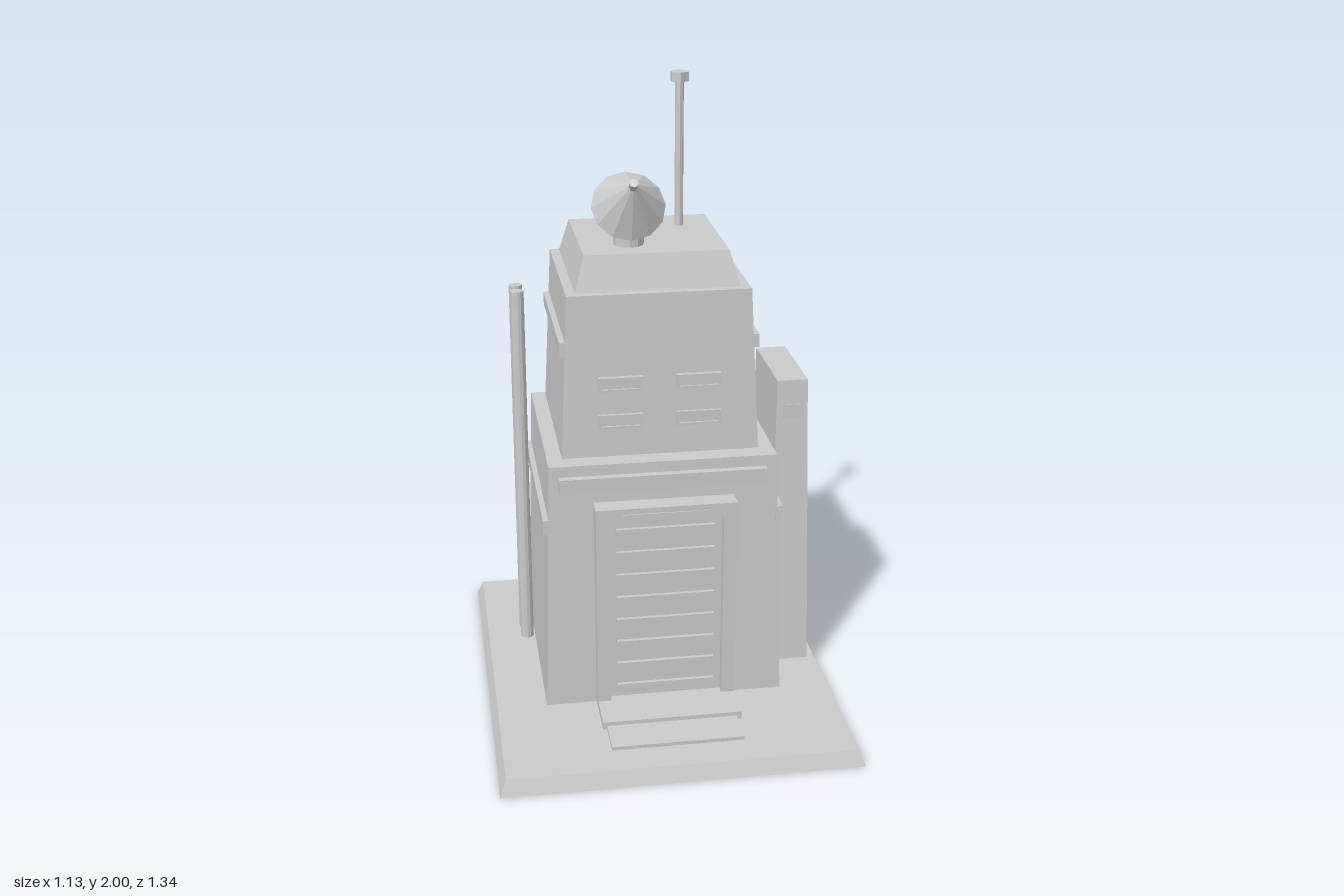
import * as THREE from 'three';

const material = new THREE.MeshStandardMaterial({ color: 0xcccccc, flatShading: true });

export function createModel() {
  const model = new THREE.Group();

  const add = (name, geometry) => {
    const mesh = new THREE.Mesh(geometry, material);
    mesh.name = name;
    model.add(mesh);
    return mesh;
  };

  // Box given by its limits on each axis
  const block = (name, [x0, x1], [y0, y1], [z0, z1]) => {
    const mesh = add(name, new THREE.BoxGeometry(x1 - x0, y1 - y0, z1 - z0));
    mesh.position.set((x0 + x1) / 2, (y0 + y1) / 2, (z0 + z1) / 2);
    return mesh;
  };

  // Box with separate limits [x0, x1, z0, z1] at its bottom and top
  const taper = (name, y0, y1, bottom, top) => {
    const geometry = new THREE.BoxGeometry(1, 1, 1);
    const p = geometry.attributes.position;
    for (let i = 0; i < p.count; i++) {
      const upper = p.getY(i) > 0;
      const r = upper ? top : bottom;
      p.setXYZ(i, p.getX(i) < 0 ? r[0] : r[1], upper ? y1 : y0, p.getZ(i) < 0 ? r[2] : r[3]);
    }
    geometry.computeVertexNormals();
    return add(name, geometry);
  };

  // Upright rod between two heights
  const rod = (name, x, z, y0, y1, radius, sides) => {
    const mesh = add(name, new THREE.CylinderGeometry(radius, radius, y1 - y0, sides));
    mesh.position.set(x, (y0 + y1) / 2, z);
  };

  // Rectangular frame extruded towards the front
  const frame = (name, w, h, rim, depth, x, y, z) => {
    const rect = (Type, a, b) => new Type([[-a, -b], [a, -b], [a, b], [-a, b]]
      .map(([u, v]) => new THREE.Vector2(u, v)));
    const shape = rect(THREE.Shape, w / 2, h / 2);
    shape.holes.push(rect(THREE.Path, w / 2 - rim, h / 2 - rim));
    add(name, new THREE.ExtrudeGeometry(shape, { depth, bevelEnabled: false })).position.set(x, y, z);
  };

  // Ground slab and the stacked tapering tower
  taper('basePlate', 0, 0.05, [-0.565, 0.565, -0.67, 0.67], [-0.545, 0.545, -0.65, 0.65]);
  taper('lowerTower', 0.05, 0.875, [-0.385, 0.385, -0.463, 0.248], [-0.36, 0.36, -0.44, 0.225]);
  taper('upperTower', 0.875, 1.395, [-0.312, 0.312, -0.425, 0.16], [-0.287, 0.287, -0.402, 0.137]);
  taper('roofCap', 1.395, 1.505, [-0.257, 0.257, -0.393, 0.108], [-0.226, 0.226, -0.362, 0.078]);

  // Side buttress with its front hatch
  taper('buttress', 0.05, 1.045, [0.385, 0.52, -0.325, 0.072], [0.402, 0.502, -0.307, 0.022]);
  block('buttressHatch', [0.42, 0.485], [0.7, 0.962], [-0.02, 0.0285]);

  // Trim strips
  for (const side of [-1, 1]) {
    block('upperSideStrip', [0.29, 0.312], [1.207, 1.25], [-0.395, 0.145]).position.x *= side;
    block('lowerSideStrip', [0.358, 0.382], [0.652, 0.7], [-0.43, 0.235]).position.x *= side;
  }
  block('frontBand', [-0.33, 0.325], [0.79, 0.84], [0.21, 0.25]);

  // Framed windows
  for (const x of [-0.125, 0.12]) {
    for (const y of [0.99, 1.112]) {
      frame('windowFrame', 0.14, 0.047, 0.009, 0.025, x, y, 0.14);
      block('windowPane', [x - 0.065, x + 0.065], [y - 0.018, y + 0.018], [0.13, 0.158]);
    }
  }

  // Doorway with a slatted shutter
  for (const side of [-1, 1]) {
    block('doorJamb', [0.18, 0.223], [0.05, 0.75], [0.2, 0.293]).position.x *= side;
  }
  block('doorLintel', [-0.18, 0.18], [0.705, 0.75], [0.2, 0.293]);
  block('lintelStrip', [-0.14, 0.14], [0.715, 0.732], [0.28, 0.297]);
  block('shutter', [-0.18, 0.18], [0.05, 0.705], [0.2, 0.265]);
  for (let i = 0; i < 8; i++) {
    const y = 0.115 + i * 0.0786;
    block('shutterSlat', [-0.158, 0.155], [y - 0.008, y + 0.008], [0.255, 0.278]);
  }
  block('doorStep', [-0.223, 0.223], [0.05, 0.075], [0.24, 0.42]);
  block('lowerStep', [-0.21, 0.207], [0.05, 0.062], [0.42, 0.542]);

  // Pair of pipes beside the tower
  for (const z of [-0.295, -0.225]) rod('pipe', -0.412, z, 0.05, 1.31, 0.022, 12);

  // Roof mast
  rod('mast', 0.12, -0.24, 1.5, 1.975, 0.014, 8);
  rod('mastTip', 0.12, -0.24, 1.97, 2, 0.031, 6);

  // Dish: a cone on a pedestal, tipped upwards to the front
  rod('dishPedestal', -0.072, -0.036, 1.5, 1.61, 0.048, 12);
  const dish = new THREE.Group();
  dish.name = 'dish';
  const cone = add('dishCone', new THREE.ConeGeometry(0.117, 0.155, 12));
  cone.position.y = 0.0775;
  const feed = add('dishFeed', new THREE.CylinderGeometry(0.014, 0.014, 0.045, 8));
  feed.position.y = 0.142;
  dish.add(cone, feed);
  dish.position.set(-0.072, 1.625, -0.035);
  dish.rotation.x = 0.9;
  model.add(dish);

  return model;
}
